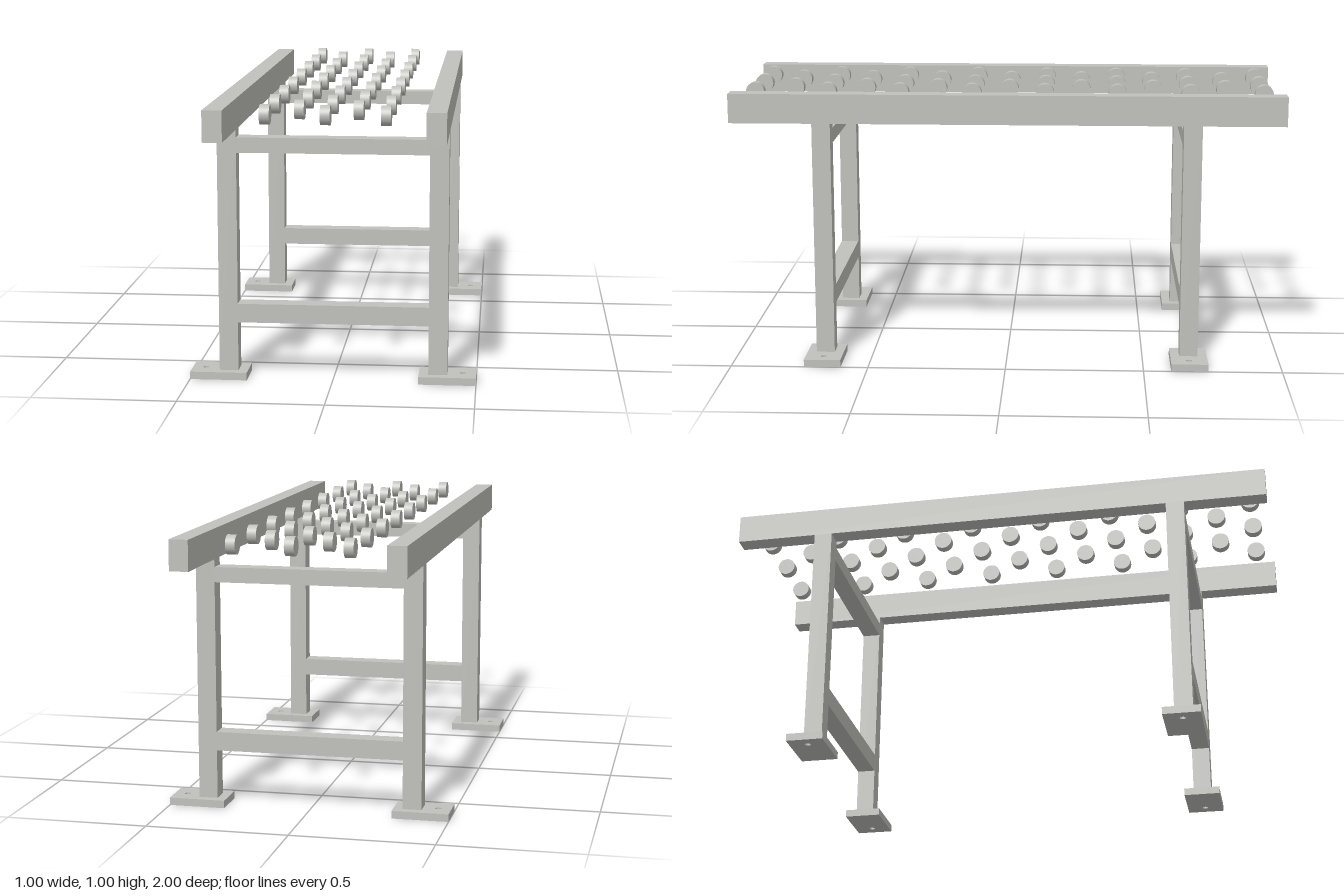
import * as THREE from 'three';

export function createModel() {
  const model = new THREE.Group();
  model.name = 'rollerConveyor';
  const steel = new THREE.MeshStandardMaterial({ color: 0xc0c0bc });
  steel.name = 'light grey steel';

  const add = (name, geometry, x, y, z) => {
    const mesh = new THREE.Mesh(geometry, steel);
    mesh.name = name;
    mesh.position.set(x, y, z);
    model.add(mesh);
  };

  // Foot plate with a bolt hole on its outer side
  const footGeometry = (side) => {
    const shape = new THREE.Shape();
    shape.moveTo(-0.1, -0.0667);
    shape.lineTo(0.1, -0.0667);
    shape.lineTo(0.1, 0.0667);
    shape.lineTo(-0.1, 0.0667);
    shape.closePath();
    const hole = new THREE.Path();
    hole.absarc(side * 0.0533, 0, 0.011, 0, Math.PI * 2, true);
    shape.holes.push(hole);
    const geometry = new THREE.ExtrudeGeometry(shape, { depth: 0.0267, bevelEnabled: false, curveSegments: 24 });
    return geometry.rotateX(-Math.PI / 2);
  };

  const barZ = 0.6667;
  const railX = 0.3667;
  const railGeometry = new THREE.BoxGeometry(0.0667, 0.1067, 2);
  const legGeometry = new THREE.BoxGeometry(0.0667, 0.8533, 0.0667);
  const upperBar = new THREE.BoxGeometry(0.6667, 0.0533, 0.0667);
  const lowerBar = new THREE.BoxGeometry(0.6667, 0.0667, 0.0667);

  // Side rails, legs and feet
  for (const side of [-1, 1]) {
    add('sideRail', railGeometry, side * railX, 0.9333, 0);
    const foot = footGeometry(side);
    for (const end of [-1, 1]) {
      add('leg', legGeometry, side * railX, 0.4533, end * barZ);
      add('footPlate', foot, side * 0.4, 0, end * barZ);
    }
  }

  // Cross bars between each pair of legs
  for (const end of [-1, 1]) {
    add('upperCrossBar', upperBar, 0, 0.8267, end * barZ);
    add('lowerCrossBar', lowerBar, 0, 0.2333, end * barZ);
  }

  // Staggered rows of small wheels, alternating three and two
  const wheel = new THREE.CylinderGeometry(0.0333, 0.0333, 0.0333, 32).rotateZ(Math.PI / 2);
  for (let row = 0; row < 15; row++) {
    const xs = row % 2 ? [-0.1, 0.1] : [-0.2, 0, 0.2];
    for (const x of xs) add('wheel', wheel, x, 0.9667, (row - 7) * 0.13333);
  }

  return model;
}
